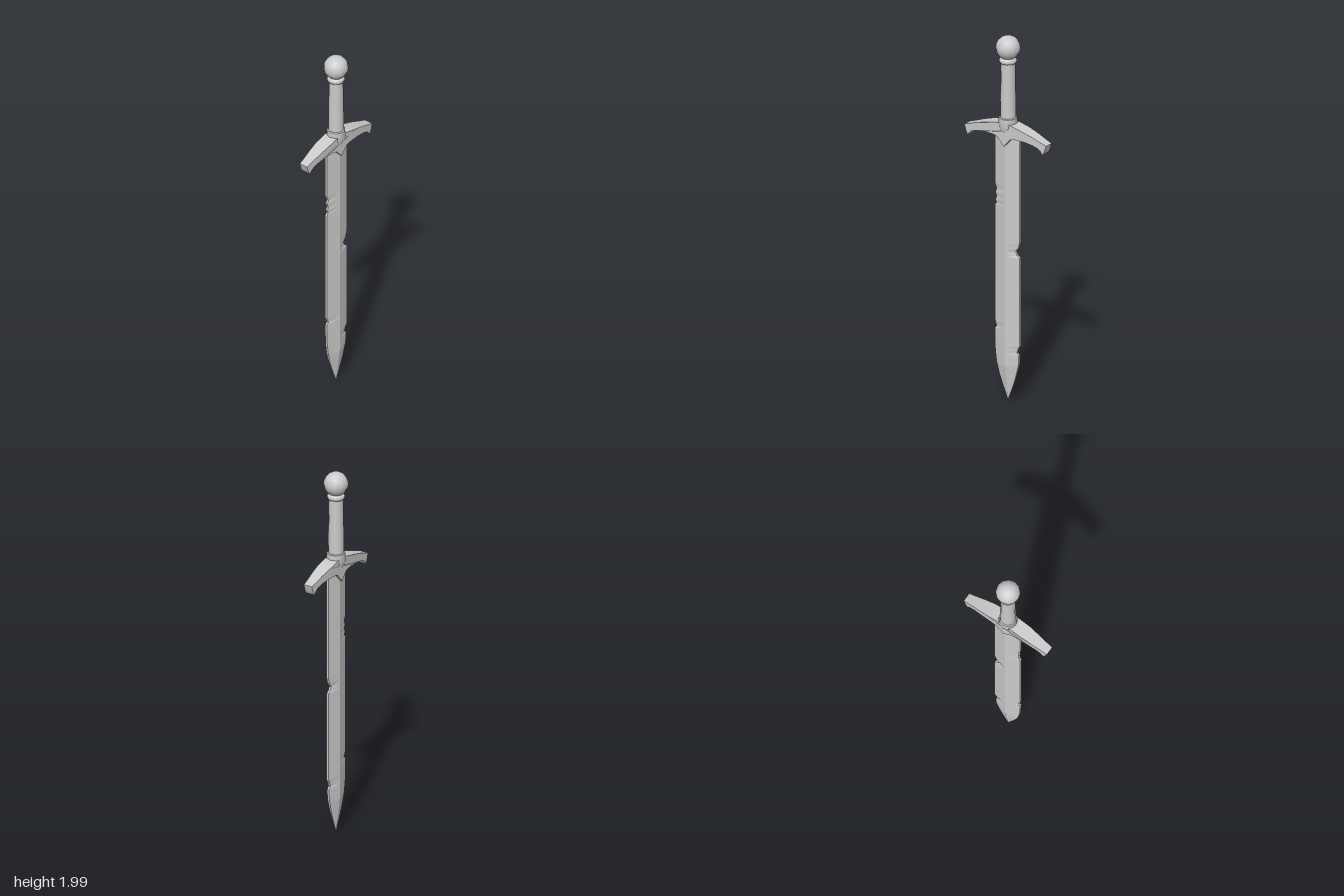
import * as THREE from 'three';
import { toCreasedNormals } from 'three/addons/utils/BufferGeometryUtils.js';

const steel = new THREE.MeshStandardMaterial({ color: 0xcccccc });
const flatSteel = new THREE.MeshStandardMaterial({ color: 0xcccccc, flatShading: true });

function part(name, geometry, material = steel) {
  const mesh = new THREE.Mesh(geometry, material);
  mesh.name = name;
  return mesh;
}

function lathe(points, sides, crease = 0.7) {
  const g = new THREE.LatheGeometry(points.map(([r, y]) => new THREE.Vector2(r, y)), sides);
  return toCreasedNormals(g, crease);
}

// Linear interpolation along an edge profile of [y, x] pairs
function edgeAt(profile, y) {
  for (let i = 1; i < profile.length; i++) {
    const [y0, x0] = profile[i - 1], [y1, x1] = profile[i];
    if (y <= y1) return x0 + (x1 - x0) * (y - y0) / (y1 - y0);
  }
  return profile[profile.length - 1][1];
}

// Diamond-section blade whose two edges carry different nicks
function bladeGeometry() {
  const W = 0.078;
  const tip = [[0.01, 0.001], [0.08, 0.029], [0.14, 0.05], [0.2, 0.066]];
  const right = [...tip, [0.22, 0.07], [0.265, 0.072], [0.28, 0.06], [0.3, 0.066], [0.32, W],
    [0.8, W], [0.81, 0.062], [0.83, 0.052], [0.855, 0.069], [0.89, W], [1.48, W]];
  const left = [...tip, [0.26, 0.075], [0.34, W], [0.385, W], [0.4, 0.067], [0.43, W],
    [1.06, W], [1.075, 0.068], [1.09, 0.074], [1.11, 0.067], [1.13, 0.075],
    [1.15, 0.066], [1.18, W], [1.48, W]];
  const ys = [...new Set([...left, ...right].map(p => p[0]))].sort((a, b) => a - b);
  const rings = ys.map(y => {
    const l = -edgeAt(left, y), r = edgeAt(right, y);
    const k = Math.min(1, 0.04 + (y - 0.01) / 0.19);
    const m = 0.025 * k, e = 0.006 * k;
    return [[l, y, e], [0, y, m], [r, y, e], [r, y, -e], [0, y, -m], [l, y, -e]];
  });
  const pos = [];
  const tri = (...pts) => pts.forEach(p => pos.push(...p));
  for (let i = 0; i + 1 < rings.length; i++) {
    for (let j = 0; j < 6; j++) {
      const n = (j + 1) % 6;
      const a = rings[i][j], b = rings[i][n], c = rings[i + 1][n], d = rings[i + 1][j];
      tri(a, b, c);
      tri(a, c, d);
    }
  }
  // End caps
  const bottom = rings[0], top = rings[rings.length - 1];
  for (let j = 1; j < 5; j++) {
    tri(bottom[0], bottom[j + 1], bottom[j]);
    tri(top[0], top[j], top[j + 1]);
  }
  const g = new THREE.BufferGeometry();
  g.setAttribute('position', new THREE.Float32BufferAttribute(pos, 3));
  g.computeVertexNormals();
  return g;
}

// Drooping crossguard, thinned in depth towards its ends
function guardGeometry() {
  const half = [[0.04, 1.45], [0.065, 1.458], [0.13, 1.458], [0.175, 1.45], [0.205, 1.44],
    [0.222, 1.427], [0.234, 1.41], [0.246, 1.43], [0.256, 1.464], [0.215, 1.478],
    [0.17, 1.495], [0.11, 1.513], [0.045, 1.528]];
  const mirrored = half.map(([x, y]) => [-x, y]).reverse();
  const outline = [[0, 1.405], ...half, ...mirrored].map(p => new THREE.Vector2(...p));
  const g = new THREE.ExtrudeGeometry(new THREE.Shape(outline), { depth: 1, bevelEnabled: false });
  const p = g.attributes.position;
  for (let i = 0; i < p.count; i++) {
    const t = Math.max(0, (Math.abs(p.getX(i)) - 0.11) / 0.145);
    const depth = 0.038 - 0.014 * t;
    p.setZ(i, p.getZ(i) > 0.5 ? depth : -depth);
  }
  return toCreasedNormals(g, 0.5);
}

export function createModel() {
  const sword = new THREE.Group();
  sword.name = 'sword';

  sword.add(part('blade', bladeGeometry(), flatSteel));
  sword.add(part('crossguard', guardGeometry()));

  // Collar seated in the guard, tapering down towards the blade
  sword.add(part('collar', lathe(
    [[0, 1.43], [0.022, 1.445], [0.038, 1.475], [0.049, 1.515], [0.047, 1.555], [0.038, 1.56], [0, 1.56]], 12)));

  sword.add(part('grip', lathe([[0.041, 1.54], [0.041, 1.6], [0.037, 1.84], [0.037, 1.87]], 12)));

  // Ring and neck under the pommel
  sword.add(part('gripRing', lathe(
    [[0.034, 1.853], [0.043, 1.855], [0.047, 1.866], [0.043, 1.877], [0.03, 1.882], [0.03, 1.9]], 12, 1.2)));

  const pommel = part('pommel', new THREE.SphereGeometry(0.064, 12, 10));
  pommel.position.y = 1.936;
  sword.add(pommel);

  return sword;
}
